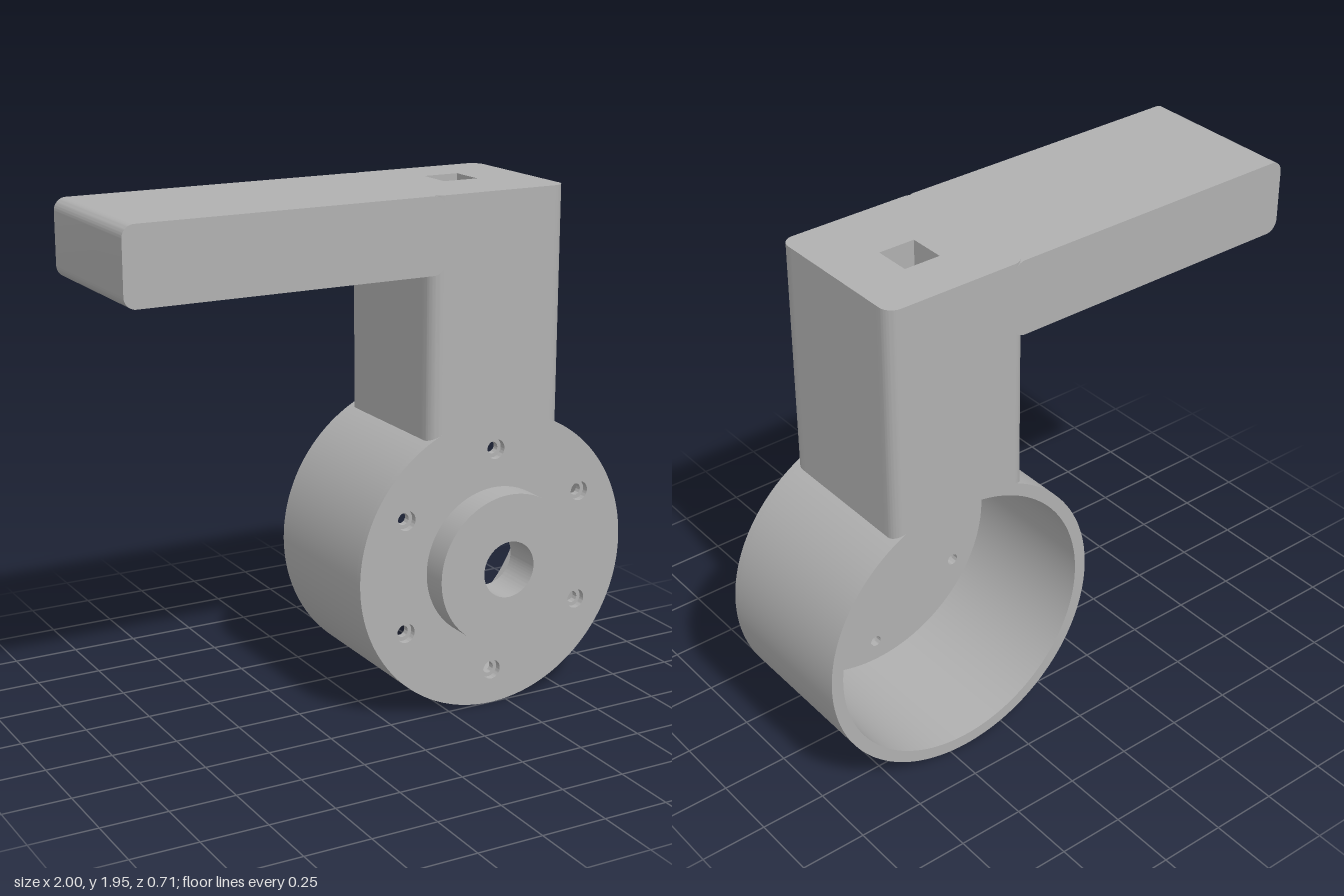
import * as THREE from 'three';
import { toCreasedNormals } from 'three/addons/utils/BufferGeometryUtils.js';

const CX = 0.435, CY = 0.565, R = 0.565;      // drum axis and radius
const BACK = -0.355, FRONT = 0.25, TOP = 1.945;
const BORE = 0.107;

const circle = (path, x, y, r) => path.absarc(x, y, r, 0, Math.PI * 2, false);

// Rounded rectangle; each of the four corners (from lower left, anticlockwise) is an arc
function roundedRect(x0, y0, x1, y1, r) {
  const s = new THREE.Shape();
  s.absarc(x0 + r, y0 + r, r, Math.PI, Math.PI * 1.5);
  s.absarc(x1 - r, y0 + r, r, Math.PI * 1.5, Math.PI * 2);
  s.absarc(x1 - r, y1 - r, r, 0, Math.PI / 2);
  s.absarc(x0 + r, y1 - r, r, Math.PI / 2, Math.PI);
  s.closePath();
  return s;
}

function extrude(shape, z0, z1, curveSegments) {
  const g = new THREE.ExtrudeGeometry(shape, { depth: z1 - z0, bevelEnabled: false, curveSegments });
  g.translate(0, 0, z0);
  return toCreasedNormals(g, 0.5);
}

// Disc on the drum axis with a bore and an optional ring of six bolt holes
function disc(radius, boltRadius) {
  const s = new THREE.Shape();
  circle(s, 0, 0, radius);
  const hole = (x, y, r) => s.holes.push(circle(new THREE.Path(), x, y, r));
  hole(0, 0, BORE);
  for (let i = 0; boltRadius && i < 6; i++) {
    const a = Math.PI / 6 + i * Math.PI / 3;
    hole(0.432 * Math.cos(a), 0.432 * Math.sin(a), boltRadius);
  }
  return s;
}

// Vertical wall around a rounded plan; its lower edge follows the drum's curve
function columnWall(x0, x1, r) {
  const corners = roundedRect(x0, -FRONT, x1, -BACK, r).getPoints(8);
  const loop = [];
  corners.forEach((p, i) => {
    const q = corners[(i + 1) % corners.length];
    const n = Math.max(1, Math.ceil(p.distanceTo(q) / 0.02));
    if (p.distanceTo(q) < 1e-6) return;
    for (let k = 0; k < n; k++) loop.push(p.clone().lerp(q, k / n));
  });
  const pos = [], index = [];
  loop.forEach((p, i) => {
    const dx = p.x - CX;
    pos.push(p.x, CY + Math.sqrt(0.55 ** 2 - dx * dx), -p.y, p.x, TOP, -p.y);
    const a = 2 * i, b = 2 * ((i + 1) % loop.length);
    index.push(a, b, b + 1, a, b + 1, a + 1);
  });
  const g = new THREE.BufferGeometry();
  g.setAttribute('position', new THREE.Float32BufferAttribute(pos, 3));
  g.setIndex(index);
  return toCreasedNormals(g, 0.5);
}

export function createModel() {
  const model = new THREE.Group();
  model.name = 'bracket';
  const grey = new THREE.MeshStandardMaterial({ color: 0xb0b0b0 });
  grey.name = 'grey';
  const add = (name, geometry, parent = model) => {
    const m = new THREE.Mesh(geometry, grey);
    m.name = name;
    parent.add(m);
    return m;
  };

  // Drum: open cup facing backwards, with a bored and bolted front plate
  const drum = new THREE.Group();
  drum.name = 'drum';
  drum.position.set(CX, CY, 0);
  model.add(drum);
  const rim = [[0.518, 0.2], [0.518, BACK], [R, BACK], [R, 0.225]].map(p => new THREE.Vector2(...p));
  const wall = new THREE.LatheGeometry(rim, 128);
  wall.rotateX(Math.PI / 2);
  add('drumWall', toCreasedNormals(wall, 0.5), drum);
  add('frontPlate', extrude(disc(R, 0.037), 0.225, FRONT, 64), drum);
  add('drumFloor', extrude(disc(0.545, 0.022), 0.2, 0.225, 64), drum);
  add('boss', extrude(disc(0.288), FRONT, 0.355, 64), drum);

  // Column with rounded upright edges and a square socket in its top
  const x0 = 0.158, x1 = 0.713;
  add('columnWall', columnWall(x0, x1, 0.05));
  const top = roundedRect(x0, -FRONT, x1, -BACK, 0.05);
  const half = 0.07, sx = 0.435, sz = -0.09, depth = 0.5;
  top.holes.push(new THREE.Path([[-1, -1], [-1, 1], [1, 1], [1, -1]]
    .map(([u, v]) => new THREE.Vector2(sx + u * half, -sz + v * half))));
  const topGeometry = new THREE.ShapeGeometry(top, 8);
  topGeometry.rotateX(-Math.PI / 2);
  topGeometry.translate(0, TOP, 0);
  add('columnTop', topGeometry);

  // Socket: four inward-facing walls and a floor
  const socket = new THREE.Group();
  socket.name = 'socket';
  socket.position.set(sx, TOP, sz);
  model.add(socket);
  for (let i = 0; i < 4; i++) {
    const side = new THREE.PlaneGeometry(2 * half, depth);
    side.translate(0, -depth / 2, -half);
    side.rotateY(i * Math.PI / 2);
    add('socketWall', side, socket);
  }
  const floor = new THREE.PlaneGeometry(2 * half, 2 * half);
  floor.rotateX(-Math.PI / 2);
  floor.translate(0, -depth, 0);
  add('socketFloor', floor, socket);

  // Arm reaching sideways from the column's top
  add('arm', extrude(roundedRect(-1, 1.665, 0.21, TOP, 0.045), BACK, FRONT, 8));

  return model;
}
